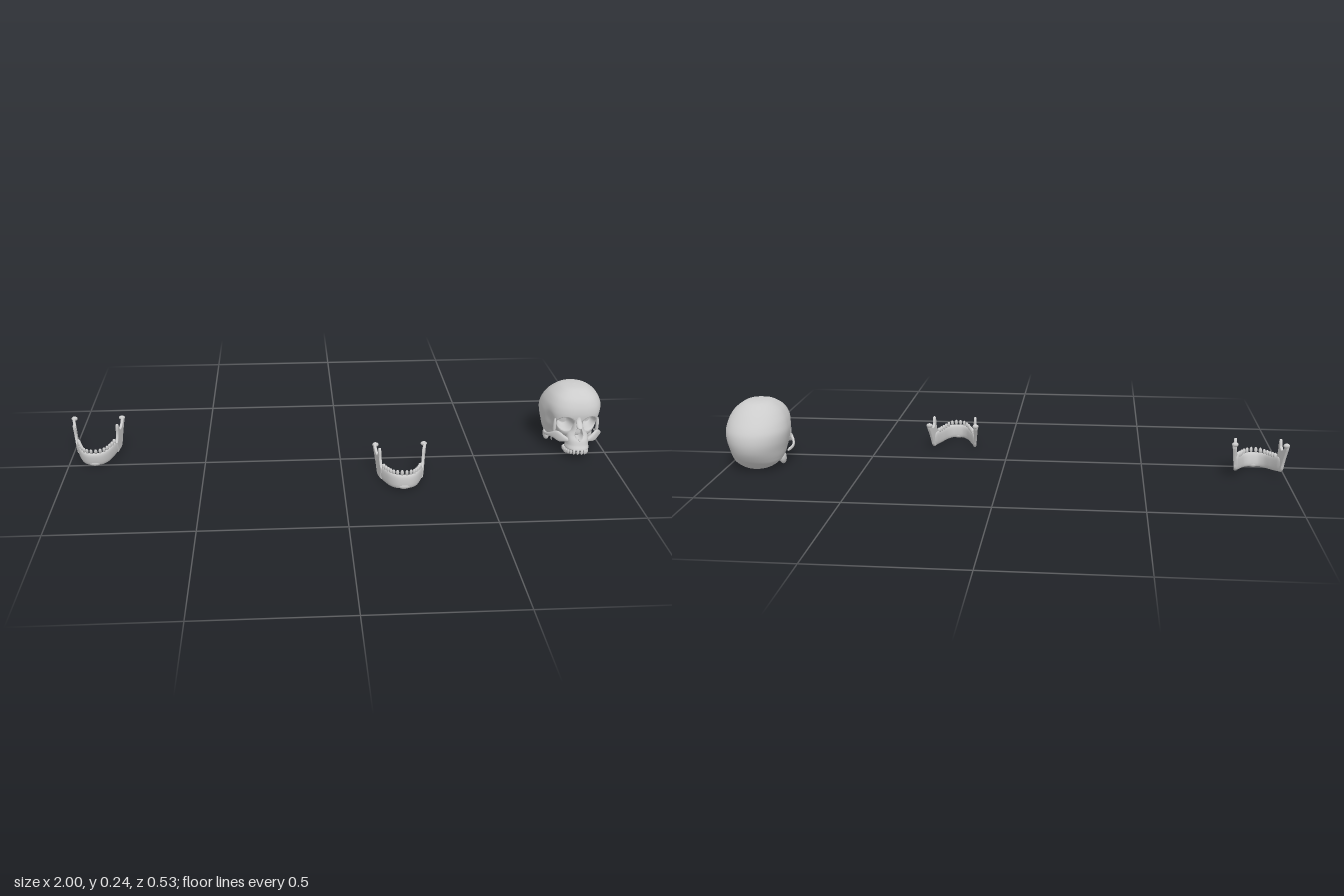
import * as THREE from 'three';

const bone = new THREE.MeshStandardMaterial({ color: 0xcccccc, side: THREE.DoubleSide });
const gauss = (d) => Math.exp(-d * d);
const spow = (v, p) => Math.sign(v) * Math.abs(v) ** p;

function add(parent, name, geometry) {
  const mesh = new THREE.Mesh(geometry, bone);
  mesh.name = name;
  parent.add(mesh);
  return mesh;
}

// Smooth skin over rows of closed rings
function skin(rows, cols, point) {
  const pos = [], index = [];
  for (let i = 0; i <= rows; i++) {
    for (let j = 0; j < cols; j++) {
      pos.push(...point(i / rows, (j / cols) * Math.PI * 2));
      if (i === rows) continue;
      const a = i * cols + j, c = i * cols + (j + 1) % cols;
      index.push(a, a + cols, c, a + cols, c + cols, c);
    }
  }
  const g = new THREE.BufferGeometry();
  g.setAttribute('position', new THREE.Float32BufferAttribute(pos, 3));
  g.setIndex(index);
  g.computeVertexNormals();
  return g;
}

// Horizontal slices, top to bottom: [y, front z, back z, half width], then sculpted by a rule
function slices(table, rows, cols, n, sculpt) {
  const spline = (f) => new THREE.CatmullRomCurve3(table.map(f), false, 'catmullrom');
  const front = spline((r) => new THREE.Vector3(r[3], r[0], r[1]));
  const back = spline((r) => new THREE.Vector3(0, r[0], r[2]));
  return skin(rows, cols, (u, t) => {
    const f = front.getPoint(u), b = back.getPoint(u);
    const mid = THREE.MathUtils.lerp(f.z, b.z, 0.55);
    const c = Math.cos(t), e = c > 0 ? 2 / n : 1;
    const p = [f.x * spow(Math.sin(t), e), f.y, mid + (c > 0 ? f.z - mid : mid - b.z) * spow(c, e)];
    return sculpt ? sculpt(p, u) : p;
  });
}

// Upright oval swept along a path with rounded ends
function sweep(points, rows, thick, height) {
  const path = new THREE.CatmullRomCurve3(points.map((p) => new THREE.Vector3(...p)));
  return skin(rows, 20, (u, t) => {
    const p = path.getPoint(u), d = path.getTangent(u);
    const l = Math.hypot(d.x, d.z), cap = Math.min(1, Math.sqrt(Math.min(u, 1 - u) * 14));
    const o = thick(u) * cap * spow(Math.cos(t), 0.8);
    return [p.x - (d.z / l) * o, p.y + height(u) * cap * spow(Math.sin(t), 0.8), p.z + (d.x / l) * o];
  });
}

function blob(parent, name, at, size, tilt = 0) {
  const mesh = add(parent, name, new THREE.SphereGeometry(1, 20, 14));
  mesh.position.set(...at);
  mesh.scale.set(...size);
  mesh.rotation.x = tilt;
}

// Row of teeth along an arch, small in front and broad at the back
function teeth(parent, name, points, count, height) {
  const arch = new THREE.CatmullRomCurve3(points.map((p) => new THREE.Vector3(...p)));
  for (let i = 0; i < count; i++) {
    const u = i / (count - 1), p = arch.getPointAt(u), d = arch.getTangentAt(u);
    const molar = Math.abs(u - 0.5) * 2;
    const tooth = add(parent, name, new THREE.SphereGeometry(1, 12, 10));
    tooth.position.copy(p);
    tooth.scale.set(0.0058 + 0.0015 * molar, height, 0.0042 + 0.003 * molar);
    tooth.rotation.y = -Math.atan2(d.z, d.x);
  }
}

const mirrored = (half) => [...half, ...half.slice(0, -1).reverse().map(([x, y, z]) => [-x, y, z])];

function bothSides(parent, name, build) {
  for (const side of [1, -1]) {
    const g = new THREE.Group();
    g.name = (side > 0 ? 'left' : 'right') + name;
    g.scale.x = side;
    build(g);
    parent.add(g);
  }
}

function makeSkull() {
  const skull = new THREE.Group();
  skull.name = 'skull';

  // Braincase with temples, eye sockets and the opening underneath
  add(skull, 'cranium', slices([
    [0.248, -0.105, -0.105, 0], [0.244, -0.064, -0.145, 0.037], [0.235, -0.042, -0.172, 0.06],
    [0.215, -0.016, -0.2, 0.085], [0.19, -0.001, -0.226, 0.101], [0.165, 0.005, -0.247, 0.109],
    [0.14, 0.004, -0.26, 0.112], [0.11, 0.001, -0.264, 0.108], [0.08, -0.001, -0.258, 0.101],
    [0.052, -0.028, -0.243, 0.093], [0.03, -0.075, -0.225, 0.079], [0.01, -0.13, -0.2, 0.045],
    [0.004, -0.165, -0.185, 0],
  ], 104, 144, 2.6, ([x, y, z]) => {
    x *= 1 - 0.13 * gauss((z + 0.055) / 0.03) * gauss((y - 0.115) / 0.04)
      - 0.36 * gauss((z + 0.045) / 0.04) * gauss((y - 0.055) / 0.032);
    const d = Math.hypot((Math.abs(x) - 0.045) / 0.03, (y - 0.124) / 0.028);
    if (z > -0.06) z -= 0.05 * THREE.MathUtils.smoothstep(1 - d, 0, 0.4);
    if (y < 0.05) y += 0.025 * THREE.MathUtils.smoothstep(1 - Math.hypot(x / 0.018, (z + 0.15) / 0.02), 0, 0.4);
    return [x, y, z];
  }));

  // Upper jaw with the pear-shaped nose opening
  add(skull, 'upperJaw', slices([
    [0.145, 0.009, -0.015, 0.009], [0.125, 0.018, -0.015, 0.016], [0.105, 0.025, -0.02, 0.024],
    [0.09, 0.03, -0.025, 0.036], [0.075, 0.042, -0.032, 0.04], [0.058, 0.049, -0.036, 0.041],
    [0.04, 0.056, -0.038, 0.041], [0.038, 0.03, -0.01, 0],
  ], 70, 96, 2.3, ([x, y, z], u) => {
    const wide = 0.016 - 0.2 * Math.max(0, y - 0.09);
    const d = Math.hypot(x / wide, (y - 0.098) / 0.024);
    if (z > 0) z -= 0.04 * THREE.MathUtils.smoothstep(1 - d, 0, 0.3);
    return [x, y + 0.2 * (z - 0.055) * u * u, z];
  }));
  add(skull, 'nasalBone', slices([
    [0.154, 0.008, -0.005, 0.006], [0.143, 0.013, 0, 0.009], [0.132, 0.026, 0.006, 0.011],
    [0.123, 0.039, 0.014, 0.011], [0.119, 0.036, 0.016, 0.009], [0.119, 0.026, 0.026, 0],
  ], 24, 28, 2));
  blob(skull, 'nasalSpine', [0, 0.074, 0.037], [0.004, 0.004, 0.008]);

  teeth(skull, 'upperTooth', mirrored([
    [-0.038, 0.017, -0.03], [-0.039, 0.02, 0], [-0.034, 0.028, 0.03], [-0.019, 0.034, 0.053], [0, 0.036, 0.059],
  ]), 16, 0.0105);

  bothSides(skull, 'SkullSide', (g) => {
    add(g, 'cheekArch', sweep([
      [0.03, 0.066, 0.018], [0.057, 0.073, 0.008], [0.08, 0.078, -0.012],
      [0.098, 0.069, -0.04], [0.104, 0.06, -0.07], [0.094, 0.052, -0.108],
    ], 40, (u) => 0.009 - 0.005 * Math.min(1, u * 1.6), (u) => 0.006 + 0.013 * gauss((u - 0.3) / 0.18)));
    blob(g, 'orbitRim', [0.081, 0.108, -0.024], [0.006, 0.033, 0.007]);
    blob(g, 'mastoid', [0.082, 0.033, -0.127], [0.013, 0.025, 0.017], -0.25);
    blob(g, 'occipitalCondyle', [0.021, 0.014, -0.145], [0.007, 0.008, 0.014]);
    blob(g, 'pterygoidPlate', [0.021, 0.043, -0.047], [0.004, 0.024, 0.014]);
    const styloid = add(g, 'styloid', new THREE.ConeGeometry(0.004, 0.04, 10));
    styloid.position.set(0.066, 0.023, -0.107);
    styloid.rotation.x = Math.PI - 0.3;
  });
  return skull;
}

function makeJaw(name) {
  const jaw = new THREE.Group();
  jaw.name = name;

  add(jaw, 'jawBody', sweep(mirrored([
    [-0.082, 0.036, 0.128], [-0.071, 0.033, 0.165], [-0.057, 0.033, 0.203],
    [-0.04, 0.035, 0.236], [-0.021, 0.037, 0.252], [0, 0.037, 0.255],
  ]), 72, (u) => 0.008 + 0.001 * Math.cos((u - 0.5) * 6), () => 0.026));
  blob(jaw, 'chin', [0, 0.02, 0.256], [0.022, 0.011, 0.009]);

  teeth(jaw, 'lowerTooth', mirrored([
    [-0.065, 0.06, 0.18], [-0.053, 0.062, 0.208], [-0.037, 0.067, 0.238], [-0.018, 0.071, 0.253], [0, 0.072, 0.256],
  ]), 14, 0.0105);

  // Upright branch: side outline with two prongs, leaning outward toward the hinge
  const outline = new THREE.Shape();
  outline.moveTo(0.175, 0.012);
  outline.lineTo(0.145, 0.01);
  outline.quadraticCurveTo(0.132, 0.011, 0.126, 0.03);
  outline.quadraticCurveTo(0.115, 0.055, 0.092, 0.09);
  outline.lineTo(0.087, 0.103);
  outline.lineTo(0.096, 0.106);
  outline.bezierCurveTo(0.112, 0.08, 0.14, 0.072, 0.15, 0.097);
  outline.quadraticCurveTo(0.151, 0.112, 0.156, 0.118);
  outline.quadraticCurveTo(0.159, 0.112, 0.16, 0.1);
  outline.quadraticCurveTo(0.16, 0.07, 0.178, 0.052);
  outline.closePath();
  bothSides(jaw, 'JawSide', (g) => {
    const branch = new THREE.ExtrudeGeometry(outline, {
      depth: 0.004, bevelThickness: 0.003, bevelSize: 0.003, bevelSegments: 3, curveSegments: 10,
    });
    branch.rotateY(-Math.PI / 2);
    const p = branch.attributes.position;
    for (let i = 0; i < p.count; i++) {
      const lean = 0.085 + 0.2 * (0.125 - p.getZ(i)) + 0.03 * (p.getY(i) - 0.05);
      p.setX(i, p.getX(i) + lean);
    }
    branch.computeVertexNormals();
    add(g, 'jawBranch', branch);
    blob(g, 'jawHinge', [0.088, 0.104, 0.09], [0.0115, 0.0085, 0.008]);
  });
  return jaw;
}

export function createModel() {
  const model = new THREE.Group();
  const skull = makeSkull();
  skull.position.x = 0.887;

  const levelJaw = makeJaw('levelJaw');
  levelJaw.position.x = 0.21;

  const tiltedJaw = makeJaw('tiltedJaw');
  tiltedJaw.position.set(-0.903, 0.046, -0.252);
  tiltedJaw.rotation.x = 0.2;

  model.add(skull, levelJaw, tiltedJaw);
  return model;
}
